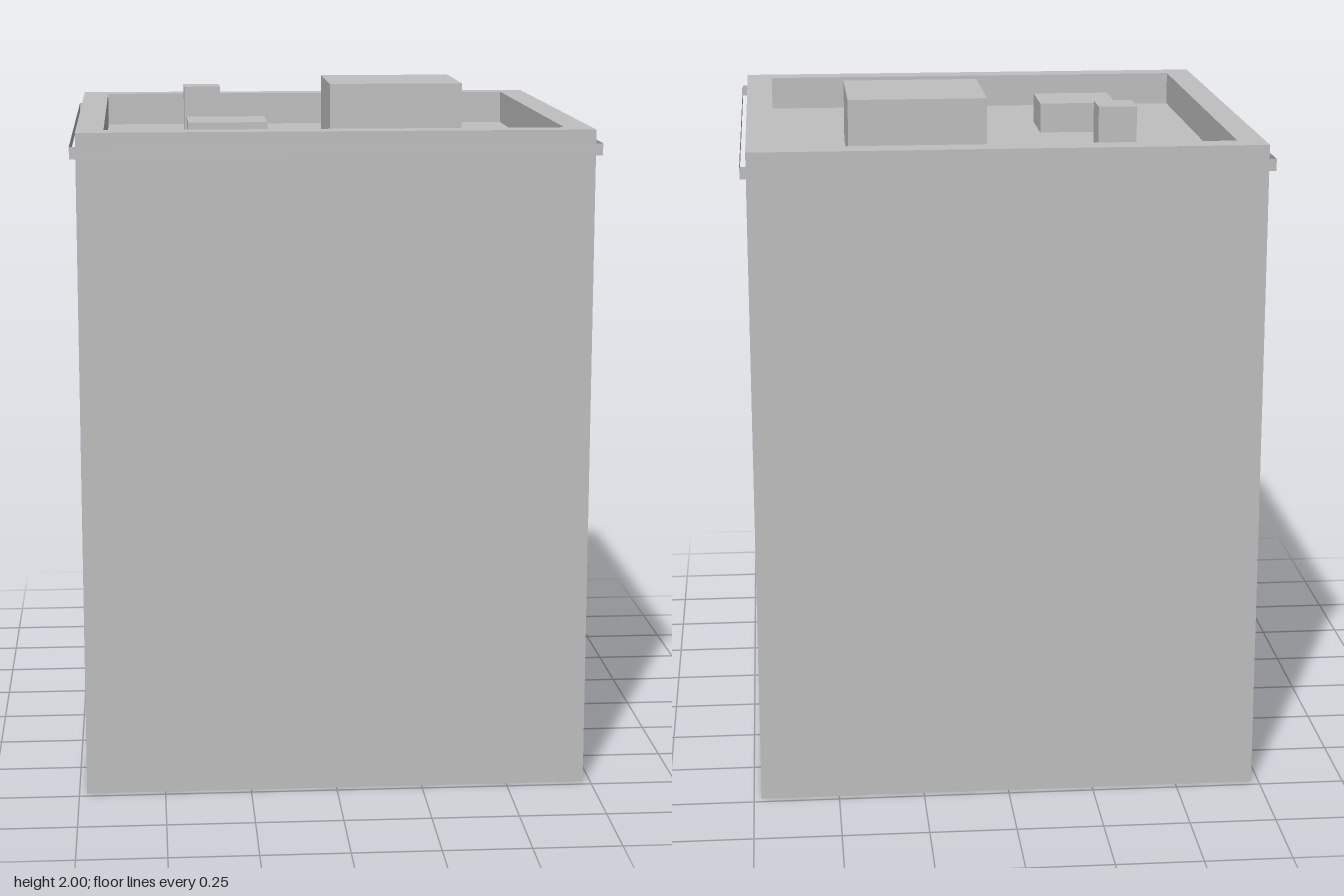
import * as THREE from 'three';

const BODY = 0.728, INNER = 0.65, LEDGE = 0.745;
const ROOF = 1.82, TOP = 1.92;

export function createModel() {
  const model = new THREE.Group();
  const concrete = new THREE.MeshStandardMaterial({ color: 0xc0c0c0, side: THREE.DoubleSide });
  concrete.name = 'concrete grey';

  const add = (name, geometry, parent = model) => {
    const mesh = new THREE.Mesh(geometry, concrete);
    mesh.name = name;
    parent.add(mesh);
    return mesh;
  };

  // Four upright panels around a square, open above and below
  const squareWalls = (name, half, y0, y1, inward = false) => {
    const group = new THREE.Group();
    group.name = name;
    for (let i = 0; i < 4; i++) {
      const panel = new THREE.PlaneGeometry(half * 2, y1 - y0);
      if (inward) panel.rotateY(Math.PI);
      panel.translate(0, (y0 + y1) / 2, half).rotateY(i * Math.PI / 2);
      add(name + 'Panel', panel, group);
    }
    model.add(group);
  };

  // Closed block given by its extents
  const block = (name, x0, x1, z0, z1, top) => {
    const box = new THREE.BoxGeometry(x1 - x0, top - ROOF, z1 - z0);
    add(name, box.translate((x0 + x1) / 2, (top + ROOF) / 2, (z0 + z1) / 2));
  };

  // Building shell, thin cornice band and inside of the parapet
  squareWalls('outerWall', BODY, 0, TOP);
  squareWalls('corniceBand', LEDGE, 1.849, 1.883);
  squareWalls('parapetInside', INNER, ROOF, TOP, true);

  // Parapet top: flat square frame
  const square = (PathType, h) => new PathType().setFromPoints(
    [[-h, -h], [h, -h], [h, h], [-h, h]].map(([x, y]) => new THREE.Vector2(x, y))).closePath() || null;
  const outline = (PathType, h) => {
    const path = new PathType();
    square(THREE.Path, h);
    path.moveTo(-h, -h).lineTo(h, -h).lineTo(h, h).lineTo(-h, h).lineTo(-h, -h);
    return path;
  };
  const frame = outline(THREE.Shape, BODY);
  frame.holes.push(outline(THREE.Path, INNER));
  add('parapetTop', new THREE.ShapeGeometry(frame).rotateX(-Math.PI / 2).translate(0, TOP, 0));

  // Sunken flat roof
  add('roof', new THREE.PlaneGeometry(INNER * 2, INNER * 2).rotateX(-Math.PI / 2).translate(0, ROOF, 0));

  // Rooftop structures
  block('stairHousing', 0.03, 0.434, -0.338, 0.039, 2.0);
  block('chimney', -0.407, -0.295, -0.353, -0.237, 1.973);
  block('ventBox', -0.407, -0.174, 0.114, 0.316, 1.91);

  return model;
}
